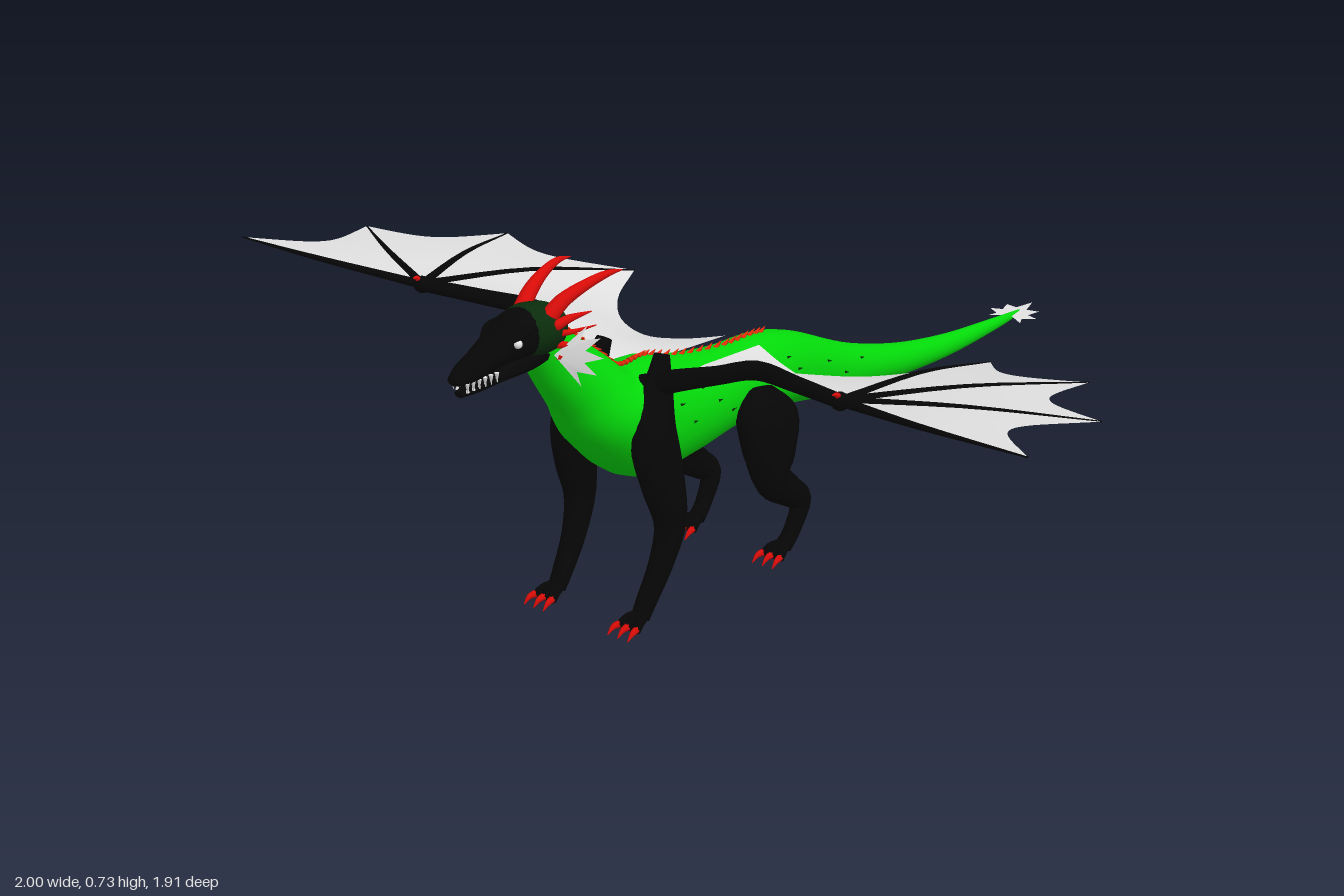
import * as THREE from 'three';

const V = (x, y, z) => new THREE.Vector3(x, y, z);
const X = V(1, 0, 0), Y = V(0, 1, 0);
const material = (name, color, side = THREE.FrontSide) => {
  const m = new THREE.MeshStandardMaterial({ color, side });
  m.name = name;
  return m;
};

// Smooth spine: rows of [x, y, z, radius across, radius up]; returns a sampler
function spine(rows, ref = X) {
  const path = new THREE.CatmullRomCurve3(rows.map(r => V(r[0], r[1], r[2])), false, 'catmullrom', 0.5);
  const size = new THREE.CatmullRomCurve3(rows.map(r => V(r[3], r[4] ?? r[3], 0)), false, 'catmullrom', 0.5);
  return t => {
    const p = path.getPoint(t), tan = path.getTangent(t), r = size.getPoint(t);
    const u = ref.clone().addScaledVector(tan, -tan.dot(ref)).normalize();
    const v = tan.clone().cross(u);
    const at = a => p.clone().addScaledVector(u, r.x * Math.cos(a)).addScaledVector(v, r.y * Math.sin(a));
    return { p, v, tan, at };
  };
}

// Closed tube of elliptical sections along a spine
function loft(rows, { ref = X, steps = (rows.length - 1) * 4, sides = 14 } = {}) {
  const sample = spine(rows, ref), pos = [], idx = [];
  for (let i = 0; i <= steps; i++) {
    const s = sample(i / steps);
    for (let j = 0; j < sides; j++) pos.push(...s.at(j / sides * Math.PI * 2).toArray());
  }
  for (let i = 0; i < steps; i++) for (let j = 0; j < sides; j++) {
    const k = (j + 1) % sides, a = i * sides, b = a + sides;
    idx.push(a + j, a + k, b + j, a + k, b + k, b + j);
  }
  const start = pos.length / 3, last = steps * sides;
  pos.push(...sample(0).p.toArray(), ...sample(1).p.toArray());
  for (let j = 0; j < sides; j++) {
    const k = (j + 1) % sides;
    idx.push(start, k, j, start + 1, last + j, last + k);
  }
  return build(pos, idx);
}

function build(pos, idx) {
  const g = new THREE.BufferGeometry();
  g.setAttribute('position', new THREE.Float32BufferAttribute(pos, 3));
  g.setIndex(idx);
  g.computeVertexNormals();
  return g;
}

// Open surface from a rule f(s, t)
function sheet(f, n = 16, m = 8) {
  const pos = [], idx = [];
  for (let i = 0; i <= n; i++) for (let j = 0; j <= m; j++) pos.push(...f(i / n, j / m).toArray());
  for (let i = 0; i < n; i++) for (let j = 0; j < m; j++) {
    const a = i * (m + 1) + j, b = a + m + 1;
    idx.push(a, a + 1, b, a + 1, b + 1, b);
  }
  return build(pos, idx);
}

// Spiky fan: tips joined to a base, with notches between them
function fan(base, tips) {
  const rim = [];
  tips.forEach((p, i) => {
    rim.push(p);
    if (i < tips.length - 1) rim.push(p.clone().lerp(tips[i + 1], 0.5).lerp(base, 0.35));
  });
  const idx = [];
  for (let i = 1; i < rim.length; i++) idx.push(0, i, i + 1);
  return build([base, ...rim].flatMap(p => p.toArray()), idx);
}

export function createModel() {
  const model = new THREE.Group();
  model.name = 'dragon';
  const green = material('green hide', 0x04da0a);
  const darkGreen = material('dark green hide', 0x0a2c0c);
  const black = material('black hide', 0x070607);
  const red = material('red horn', 0xd80c08);
  const orange = material('orange red back spikes', 0xf0300c);
  const grey = material('pale membrane', 0xe0e0e0, THREE.DoubleSide);
  const white = material('white teeth and eyes', 0xf0f0f0);
  const add = (name, geometry, mat, parent = model) => {
    const m = new THREE.Mesh(geometry, mat);
    m.name = name;
    parent.add(m);
    return m;
  };
  const cone = (name, p, dir, radius, height, mat) => {
    const m = add(name, new THREE.ConeGeometry(radius, height, 5), mat);
    m.position.copy(p);
    m.quaternion.setFromUnitVectors(Y, dir.clone().normalize());
    return m;
  };

  // Tail, trunk and neck
  const trunk = [
    [0, .232, -.9, .005, .005], [0, .23, -.8, .012, .014], [0, .233, -.6, .024, .026],
    [0, .253, -.4, .036, .038], [0, .292, -.2, .05, .056], [0, .35, 0, .066, .08],
    [0, .363, .1, .074, .09], [0, .368, .2, .08, .088], [0, .37, .34, .096, .105],
    [0, .385, .47, .108, .122], [0, .425, .56, .106, .093], [0, .495, .625, .074, .075],
    [0, .565, .69, .054, .06], [0, .625, .74, .045, .045]];
  add('body', loft(trunk, { steps: 90, sides: 24 }), green);
  const along = spine(trunk);

  // Spikes down the back, leaning towards the tail
  for (let i = 0; i < 34; i++) {
    const s = along(.44 + i / 33 * .5);
    cone('backSpike', s.at(Math.PI / 2).addScaledVector(s.v, .003), s.v.clone().addScaledVector(s.tan, -1.5), .0075, .026, orange);
  }
  // A few small dark scales on the flanks
  for (let i = 0; i < 16; i++) {
    const s = along(.3 + i / 16 * .4), a = .6 - (i * .618 % 1) * .9;
    for (const angle of [a, Math.PI - a]) cone('flankScale', s.at(angle), s.tan.clone().negate(), .003, .016, darkGreen);
  }
  // Tail fin
  add('tailFin', fan(V(0, .234, -.86), [[-.045, -.835], [-.066, -.875], [-.045, -.915], [0, -.955],
    [.045, -.915], [.066, -.875], [.045, -.835]].map(([x, z]) => V(x, .232 - (z + .86) * .08, z))), grey);

  // Head
  add('skullBack', loft([[0, .632, .685, .03, .03], [0, .638, .71, .052, .045], [0, .642, .75, .064, .051],
    [0, .641, .785, .055, .046], [0, .64, .81, .03, .03]], { sides: 18 }), darkGreen);
  add('snout', loft([[0, .644, .75, .05, .046], [0, .643, .79, .054, .046], [0, .632, .84, .041, .034],
    [0, .616, .89, .031, .026], [0, .603, .93, .027, .02], [0, .598, .958, .014, .01]], { sides: 18 }), black);
  add('lowerJaw', loft([[0, .605, .72, .04, .024], [0, .594, .78, .042, .024], [0, .582, .85, .029, .015],
    [0, .573, .91, .021, .01], [0, .569, .945, .011, .006]]), black);

  for (const side of [1, -1]) {
    const flip = rows => rows.map(([x, ...rest]) => [x * side, ...rest]);
    const P = (x, y, z) => V(x * side, y, z);
    const limb = (name, rows, mat, options) => add(name, loft(flip(rows), options), mat);

    // Face details
    const eye = add('eye', new THREE.SphereGeometry(.009, 12, 8), white);
    eye.position.copy(P(.041, .643, .83));
    limb('brow', [[.035, .662, .79, .012, .01], [.042, .658, .82, .01, .007], [.032, .646, .85, .004, .003]], black);
    for (let i = 0; i < 6; i++) {
      cone('upperTooth', P(.029 - i * .0022, .588 - i * .001, .875 + i * .013), V(0, -1, 0), .005, .02, white);
      cone('lowerTooth', P(.023 - i * .002, .585 - i * .001, .87 + i * .013), Y, .004, .014, white);
    }
    // Horns and cheek spikes
    limb('horn', [[.032, .66, .75, .018], [.042, .695, .71, .015], [.055, .716, .66, .011],
      [.064, .727, .61, .007], [.066, .725, .57, .001]], red, { sides: 10 });
    limb('smallHorn', [[.052, .655, .745, .011], [.064, .667, .715, .008], [.078, .672, .67, .001]], red, { sides: 8 });
    for (let i = 0; i < 3; i++) limb('cheekSpike', [[.05, .64 - i * .022, .735, .008],
      [.066, .64 - i * .026, .71, .005], [.085, .645 - i * .03, .665 + i * .012, .001]], red, { sides: 8 });
    add('earFrill', fan(P(.05, .6, .745), [P(.085, .65, .69), P(.104, .625, .675), P(.108, .585, .672),
      P(.098, .552, .682), P(.075, .53, .7)]), grey);

    // Legs
    limb('frontLeg', [[.075, .53, .47, .012, .02], [.088, .46, .5, .026, .038], [.104, .38, .53, .034, .058],
      [.115, .29, .52, .037, .05], [.12, .2, .505, .03, .036], [.116, .12, .53, .025, .026],
      [.112, .05, .572, .021, .021], [.112, .022, .59, .02, .016]], black);
    limb('hindLeg', [[.065, .365, .17, .02, .05], [.1, .32, .178, .046, .085], [.117, .25, .19, .042, .07],
      [.124, .19, .188, .032, .045], [.124, .145, .135, .024, .034], [.122, .11, .094, .02, .026],
      [.12, .05, .122, .018, .018], [.118, .022, .15, .02, .016]], black);
    for (const [x, z, name] of [[.112, .575, 'front'], [.118, .135, 'hind']])
      for (const k of [-1, 0, 1]) {
        limb(name + 'Toe', [[x, .026, z, .012], [x + k * .012, .025, z + .03, .012],
          [x + k * .022, .014, z + .052, .009]], black, { sides: 8 });
        limb(name + 'Claw', [[x + k * .021, .017, z + .047, .008], [x + k * .025, .015, z + .066, .006],
          [x + k * .026, .003, z + .082, .001]], red, { sides: 6 });
      }

    // Wing: arm, fingers and membrane
    const wing = new THREE.Group();
    wing.name = side > 0 ? 'leftWing' : 'rightWing';
    model.add(wing);
    const wrist = [.54, .555, .512];
    const arm = [[.05, .465, .505], [.12, .49, .49], [.205, .513, .463], [.285, .535, .439], [.41, .547, .476], wrist];
    const armSizes = [.026, .023, .019, .019, .016, .014];
    add('wingArm', loft(flip(arm.map((p, i) => [...p, armSizes[i]])), { ref: Y }), black, wing);
    const knuckle = add('wristKnuckle', new THREE.SphereGeometry(.018, 12, 8), black, wing);
    knuckle.position.copy(P(...wrist));
    add('thumbClaw', loft(flip([[.54, .562, .515, .007], [.542, .572, .525, .005], [.54, .574, .536, .001]]),
      { sides: 8 }), red, wing);

    const fingers = [[[.77, .583, .583], [1, .587, .592]], [[.75, .562, .41], [.953, .545, .28]],
      [[.655, .54, .275], [.768, .503, .028]], [[.51, .518, .22], [.476, .45, -.07]]]
      .map(([mid, tip]) => [wrist, mid, tip]);
    const curves = fingers.map(f => new THREE.CatmullRomCurve3(f.map(p => P(...p))));
    fingers.forEach(f => add('wingFinger', loft(flip(f.map((p, i) => [...p, [.01, .006, .0015][i]])),
      { ref: Y, sides: 8 }), black, wing));
    [.22, .18, .17].forEach((depth, i) => add('outerMembrane', sheet((s, t) => {
      const q = t * (1 - depth * Math.sin(Math.PI * s));
      return curves[i].getPoint(q).lerp(curves[i + 1].getPoint(q), s);
    }), grey, wing));
    const lead = new THREE.CatmullRomCurve3([...arm].reverse().map(p => P(...p)));
    const trail = new THREE.CatmullRomCurve3([[.476, .45, -.07], [.4, .437, .07], [.31, .428, .155],
      [.22, .422, .18], [.13, .43, .16], [.045, .448, .135]].map(p => P(...p)));
    // Inner panel follows the last finger on its outer edge
    add('innerMembrane', sheet((s, t) => {
      const p = lead.getPoint(s).lerp(trail.getPoint(s), t);
      const straight = lead.getPoint(0).lerp(trail.getPoint(0), t);
      return p.addScaledVector(curves[3].getPoint(t).sub(straight), (1 - s) ** 2);
    }, 24, 10), grey, wing);
  }
  return model;
}
